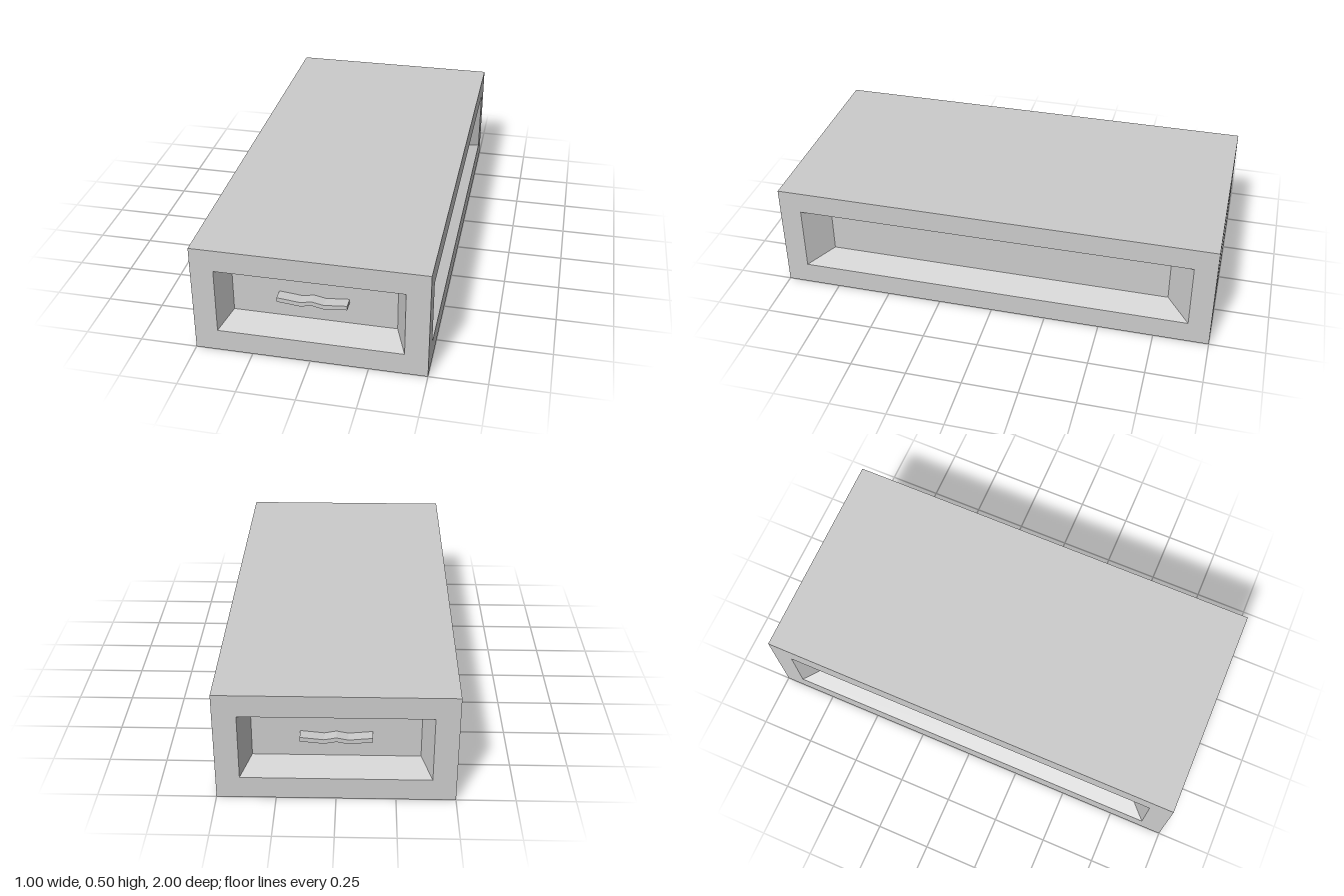
import * as THREE from 'three';

const material = new THREE.MeshStandardMaterial({ color: 0xcccccc, flatShading: true });

function add(parent, geometry, name) {
  const mesh = new THREE.Mesh(geometry, material);
  mesh.name = name;
  parent.add(mesh);
  return mesh;
}

// Rectangle corners, counter-clockwise as seen from +z
const rect = (hw, y0, y1, z) => [[-hw, y0, z], [hw, y0, z], [hw, y1, z], [-hw, y1, z]];

// Wall facing +z: flat frame, sloping reveal and sunken panel
function recessedWall(halfWidth, distance) {
  const opening = halfWidth - 0.1;
  const rings = [
    rect(halfWidth, 0, 0.5, distance),
    rect(opening, 0.1, 0.4, distance),
    rect(opening * 0.883, 0.149, 0.355, distance - 0.1),
  ];
  const positions = [];
  const quad = (a, b, c, d) => positions.push(...a, ...b, ...c, ...a, ...c, ...d);
  for (let r = 0; r < 2; r++) {
    for (let i = 0; i < 4; i++) {
      const j = (i + 1) % 4;
      quad(rings[r][i], rings[r][j], rings[r + 1][j], rings[r + 1][i]);
    }
  }
  quad(...rings[2]);
  const geometry = new THREE.BufferGeometry();
  geometry.setAttribute('position', new THREE.Float32BufferAttribute(positions, 3));
  geometry.computeVertexNormals();
  return geometry;
}

// Wavy bar handle standing out from the sunken panel
function handleGeometry() {
  const top = [[-0.15, 0.27], [-0.05, 0.26], [0, 0.27], [0.05, 0.26], [0.15, 0.27]];
  const bottom = top.map(([x, y]) => [x, y - 0.02]).reverse();
  const shape = new THREE.Shape([...top, ...bottom].map(([x, y]) => new THREE.Vector2(x, y)));
  return new THREE.ExtrudeGeometry(shape, { depth: 0.05, bevelEnabled: false }).translate(0, 0, 0.9);
}

export function createModel() {
  const model = new THREE.Group();
  model.name = 'drawerBox';

  // Four recessed walls; the short ends carry handles
  ['front', 'left', 'back', 'right'].forEach((side, i) => {
    const isEnd = i % 2 === 0;
    const wall = new THREE.Group();
    wall.name = side + 'Side';
    wall.rotation.y = i * Math.PI / 2;
    add(wall, isEnd ? recessedWall(0.5, 1) : recessedWall(1, 0.5), side + 'Panel');
    if (isEnd) add(wall, handleGeometry(), side + 'Handle');
    model.add(wall);
  });

  // Flat top and base
  add(model, new THREE.PlaneGeometry(1, 2).rotateX(-Math.PI / 2).translate(0, 0.5, 0), 'top');
  add(model, new THREE.PlaneGeometry(1, 2).rotateX(Math.PI / 2), 'base');

  return model;
}
